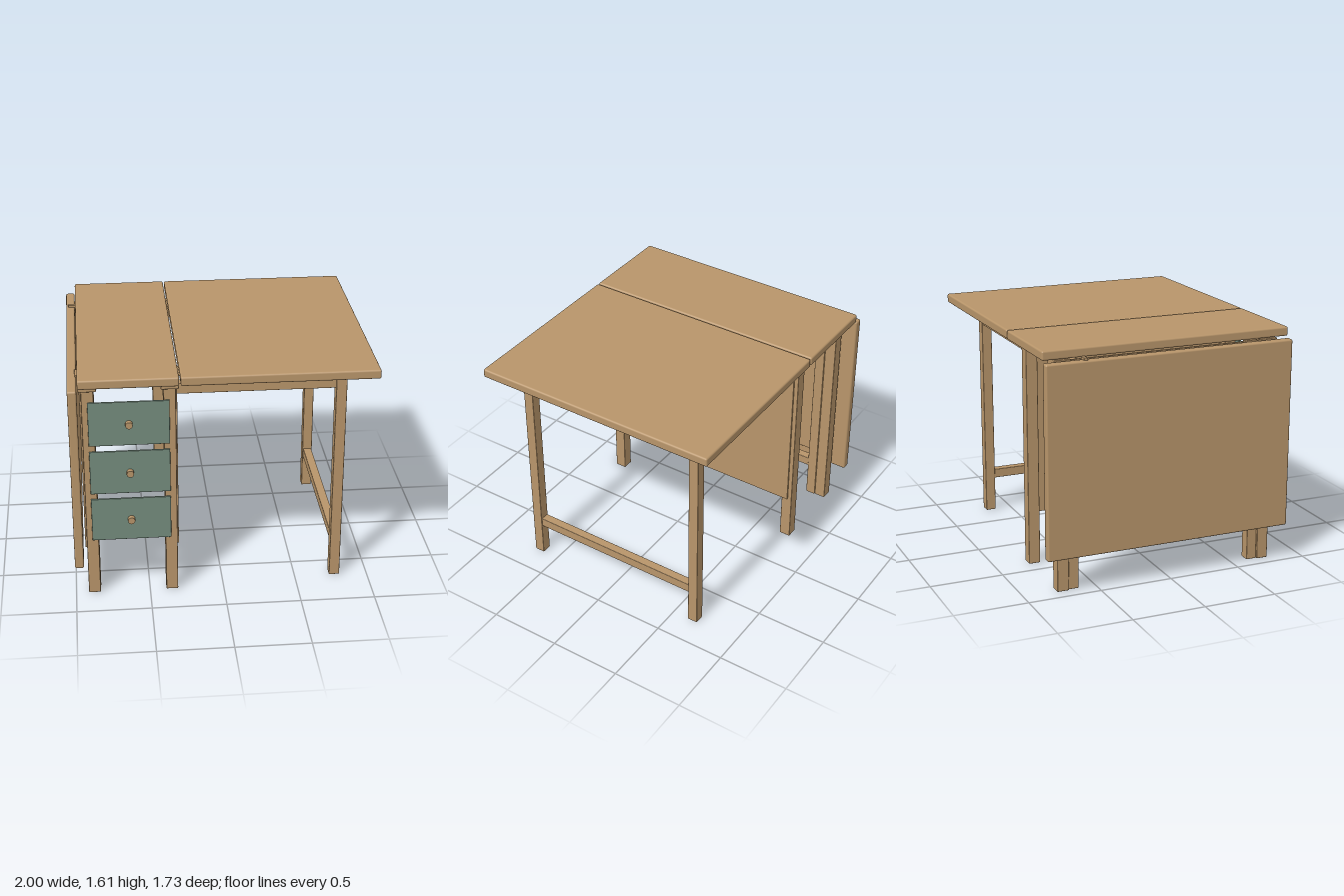
import * as THREE from 'three';
import { RoundedBoxGeometry } from 'three/addons/geometries/RoundedBoxGeometry.js';

export function createModel() {
  const model = new THREE.Group();
  model.name = 'gatelegTable';
  const wood = new THREE.MeshStandardMaterial({ color: 0xb8956a });
  wood.name = 'wood';
  const paint = new THREE.MeshStandardMaterial({ color: 0x748c7d });
  paint.name = 'green paint';

  // Box given by its limits on each axis, with softly rounded edges
  function slab(name, [x0, x1], [y0, y1], [z0, z1], radius = 0.005, material = wood, parent = model) {
    const size = [x1 - x0, y1 - y0, z1 - z0];
    const r = Math.min(radius, Math.min(...size) * 0.4);
    const mesh = new THREE.Mesh(new RoundedBoxGeometry(...size, 2, r), material);
    mesh.position.set((x0 + x1) / 2, (y0 + y1) / 2, (z0 + z1) / 2);
    mesh.name = name;
    parent.add(mesh);
    return mesh;
  }
  // Same range on the front (s = 1) or mirrored to the back (s = -1)
  const side = (s, a, b) => (s > 0 ? [a, b] : [-b, -a]);

  // Fixed top, raised leaf and hanging leaf
  const depth = [-0.865, 0.865];
  slab('fixedTop', [-0.935, -0.294], [1.55, 1.612], depth, 0.012);
  slab('raisedLeaf', [-0.284, 0.995], [1.55, 1.612], depth, 0.012);
  slab('hangingLeaf', [-1, -0.94], [0.25, 1.54], depth, 0.012);

  // Cabinet: four legs with caps, and two side panels
  for (const x of [-0.875, -0.35]) {
    for (const s of [1, -1]) {
      slab('cabinetLeg', [x - 0.04, x + 0.04], [0, 1.5], side(s, 0.69, 0.77));
      slab('legCap', [x - 0.058, x + 0.058], [1.497, 1.546], side(s, 0.672, 0.785));
    }
  }
  slab('leftPanel', [-0.926, -0.912], [0.34, 1.54], [-0.74, 0.74], 0.002);
  slab('rightPanel', [-0.314, -0.3], [0.34, 1.54], [-0.74, 0.74], 0.002);

  // Gates: a pair of legs joined by a low rail, one pulled out, one folded away
  function gate(name, x) {
    const group = new THREE.Group();
    group.name = name;
    for (const s of [1, -1]) {
      slab('gateLeg', [x - 0.036, x + 0.036], [0, 1.537], side(s, 0.618, 0.69), 0.005, wood, group);
    }
    slab('lowRail', [x - 0.03, x + 0.03], [0.245, 0.31], [-0.62, 0.62], 0.003, wood, group);
    model.add(group);
    return group;
  }
  gate('foldedGate', -0.867);
  const openGate = gate('openGate', 0.775);
  for (const s of [1, -1]) {
    slab('slideRail', [-0.302, 0.74], [1.418, 1.49], side(s, 0.622, 0.686), 0.003, wood, openGate);
  }

  // Drawer fronts with round knobs
  const knobShape = new THREE.CylinderGeometry(0.024, 0.024, 0.036, 12).rotateX(Math.PI / 2);
  for (const y of [1.265, 0.915, 0.567]) {
    slab('drawerFront', [-0.877, -0.352], [y - 0.154, y + 0.154], [0.768, 0.782], 0.003, paint);
    const knob = new THREE.Mesh(knobShape, wood);
    knob.position.set(-0.615, y, 0.798);
    knob.name = 'drawerKnob';
    model.add(knob);
  }

  // Hinge plates under the leaf joints
  for (const s of [1, -1]) {
    slab('leafHinge', [-0.34, -0.278], [1.537, 1.55], side(s, 0.54, 0.675), 0.002);
  }
  slab('backHinge', [-0.985, -0.93], [1.538, 1.556], [-0.605, -0.58], 0.002);
  slab('frontHinge', [-0.95, -0.92], [1.538, 1.55], [0.535, 0.63], 0.002);

  return model;
}
